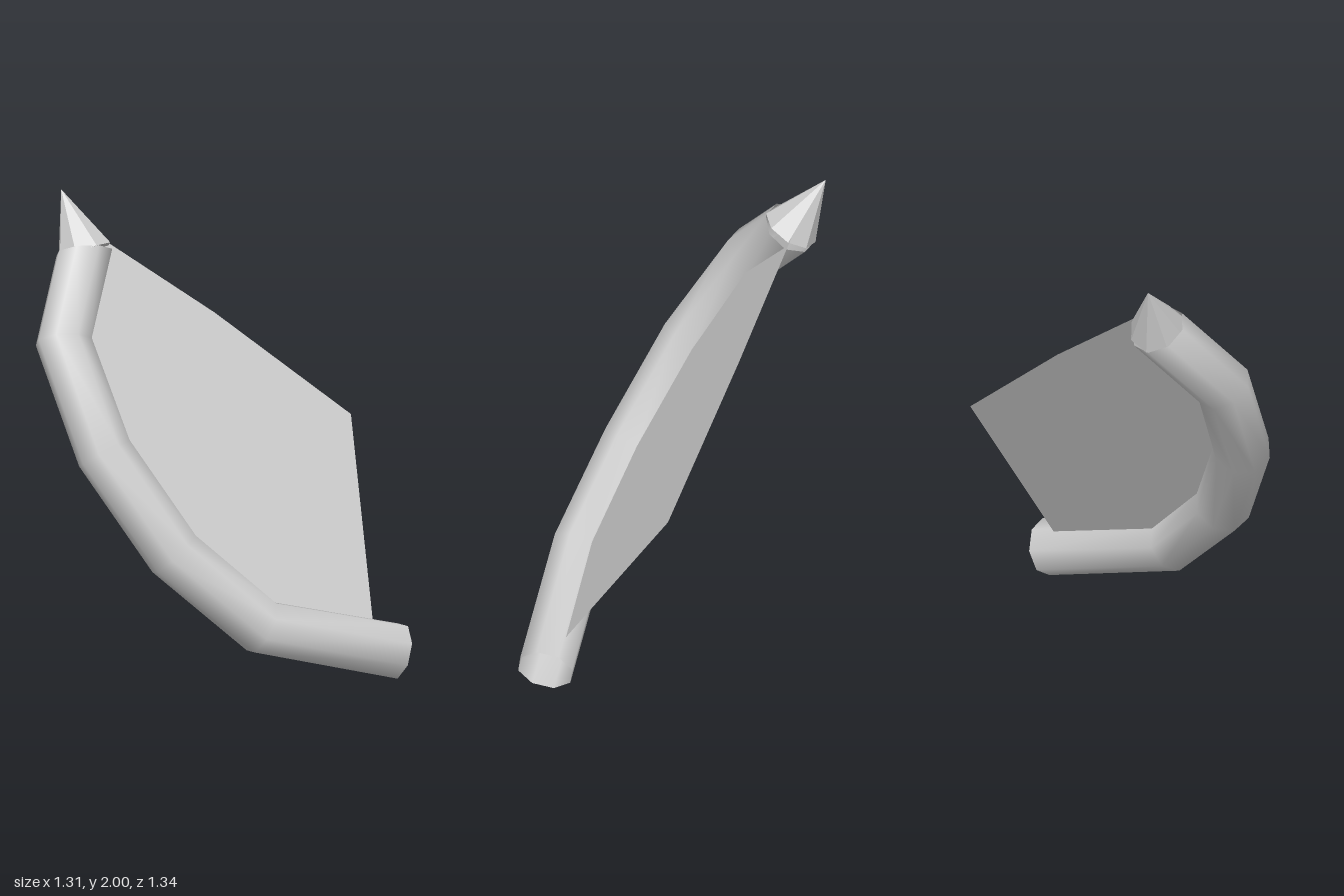
import * as THREE from 'three';

const SIDES = 8, RADIUS = 0.12;
const vec = (x, y, z) => new THREE.Vector3(x, y, z);

// centre line of the bent pipe, lower open end first
const path = [
  vec(0.545, 0.115, -0.49), vec(0.37, 0.305, 0.105), vec(0.145, 0.63, 0.39),
  vec(-0.11, 1.04, 0.55), vec(-0.37, 1.46, 0.545), vec(-0.515, 1.76, 0.305),
];
const tip = vec(-0.66, 2.0, 0.305);
// the whole arc lies in one tilted plane
const planeNormal = vec(0.86, 0.5, 0.09).normalize();

// eight-sided open pipe with mitred rings at each bend
function pipeGeometry() {
  const last = path.length - 1;
  const dirs = path.slice(1).map((p, i) => p.clone().sub(path[i]).normalize());
  const axis = tip.clone().sub(path[last]).normalize();
  const pos = [], index = [];
  path.forEach((c, i) => {
    const t = dirs[Math.max(i - 1, 0)].clone().add(i < last ? dirs[i] : axis).normalize();
    const v = t.clone().cross(planeNormal).normalize();
    const u = v.clone().cross(t);
    for (let j = 0; j < SIDES; j++) {
      const a = (j / SIDES) * Math.PI * 2;
      const p = c.clone().addScaledVector(u, RADIUS * Math.cos(a)).addScaledVector(v, RADIUS * Math.sin(a));
      pos.push(p.x, p.y, p.z);
      if (i < last) {
        const k = i * SIDES, n = (j + 1) % SIDES;
        index.push(k + j, k + n, k + SIDES + j, k + n, k + SIDES + n, k + SIDES + j);
      }
    }
  });
  const g = new THREE.BufferGeometry();
  g.setAttribute('position', new THREE.Float32BufferAttribute(pos, 3));
  g.setIndex(index);
  g.computeVertexNormals();
  return g;
}

// flat sheet filling the inside of the arc, outlined in (z, y)
function sheetGeometry() {
  const outline = [
    [-0.4, 0.14], ...path.slice(1).map((p) => [p.z, p.y]),
    [0.305, 1.885], [-0.2, 1.45], [-0.67, 0.985],
  ].map(([z, y]) => new THREE.Vector2(z, y));
  const pos = outline.flatMap(({ x: z, y }) => [(0.472 - 0.5 * y - 0.09 * z) / 0.86, y, z]);
  const g = new THREE.BufferGeometry();
  g.setAttribute('position', new THREE.Float32BufferAttribute(pos, 3));
  // mirrored order so that the face points to +x
  g.setIndex(THREE.ShapeUtils.triangulateShape(outline, []).flatMap(([a, b, c]) => [a, c, b]));
  g.computeVertexNormals();
  return g;
}

// pointed end cap standing on the upper end of the pipe
function spikeGeometry() {
  const base = path[path.length - 1];
  const axis = tip.clone().sub(base);
  const height = axis.length();
  const g = new THREE.ConeGeometry(RADIUS, height, SIDES).toNonIndexed();
  g.rotateY(-Math.PI / 18);
  g.translate(0, height / 2, 0);
  g.applyQuaternion(new THREE.Quaternion().setFromUnitVectors(vec(0, 1, 0), axis.normalize()));
  g.translate(base.x, base.y, base.z);
  g.computeVertexNormals();
  return g;
}

export function createModel() {
  const grey = new THREE.MeshStandardMaterial({ color: 0xcccccc, side: THREE.DoubleSide });
  grey.name = 'light grey';
  const model = new THREE.Group();
  model.name = 'bentPipeWithSheet';
  const add = (name, geometry) => {
    const mesh = new THREE.Mesh(geometry, grey);
    mesh.name = name;
    model.add(mesh);
  };
  add('pipe', pipeGeometry());
  add('sheet', sheetGeometry());
  add('spike', spikeGeometry());
  return model;
}
